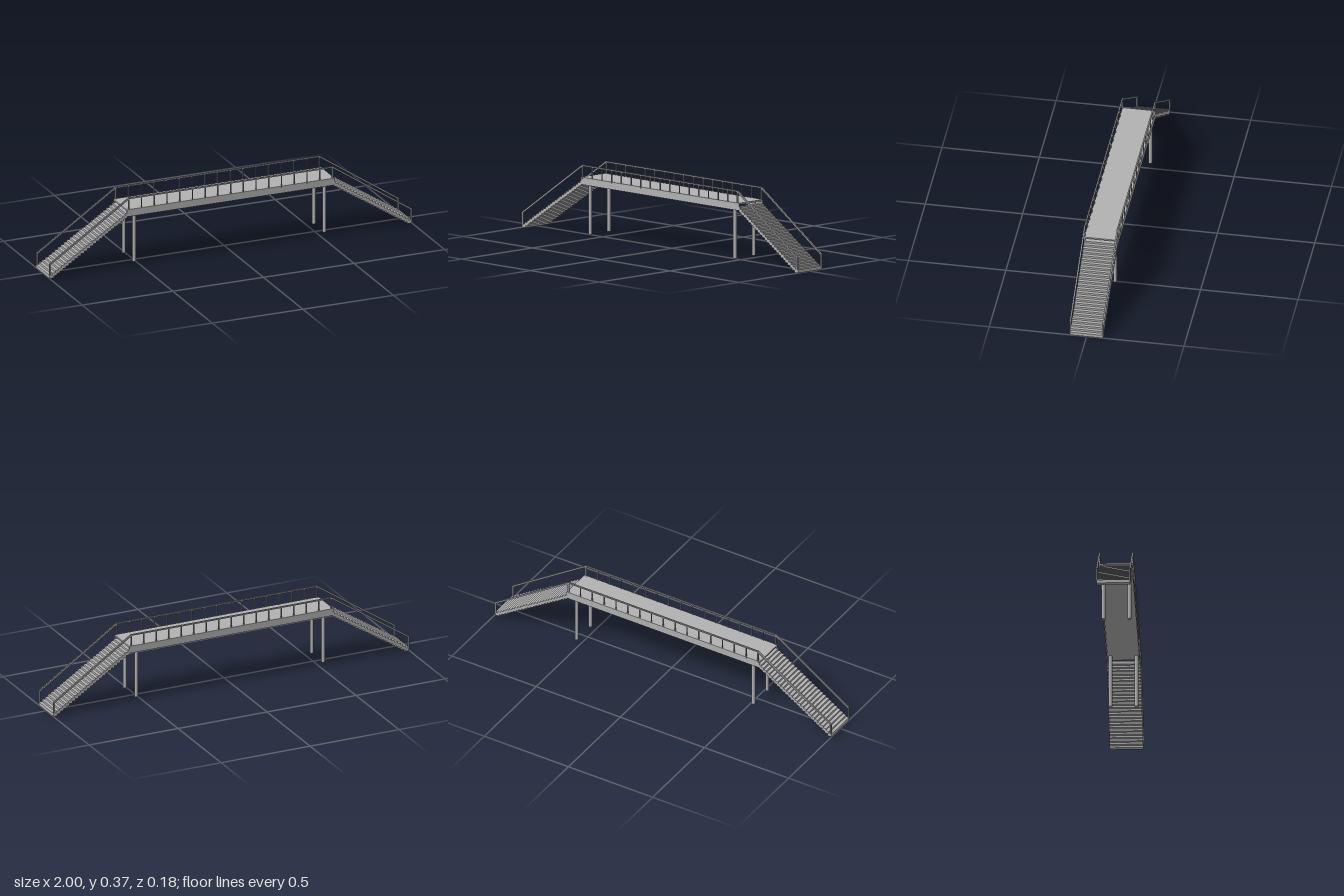
import * as THREE from 'three';

export function createModel() {
  const bridge = new THREE.Group();
  bridge.name = 'footbridge';

  const concrete = new THREE.MeshStandardMaterial({ color: 0xb2b2b2 });
  concrete.name = 'concrete grey';
  const steel = new THREE.MeshStandardMaterial({ color: 0x9c9c9c });
  steel.name = 'steel grey';

  const add = (parent, name, geometry, material, x, y, z) => {
    const mesh = new THREE.Mesh(geometry, material);
    mesh.name = name;
    mesh.position.set(x, y, z);
    parent.add(mesh);
    return mesh;
  };
  const box = (parent, name, material, w, h, d, x, y, z) =>
    add(parent, name, new THREE.BoxGeometry(w, h, d), material, x, y, z);

  // Square bar between two points in a plane of constant z
  const bar = (parent, name, x0, y0, x1, y1, z, t) => {
    const length = Math.hypot(x1 - x0, y1 - y0);
    const mesh = box(parent, name, steel, length, t, t, (x0 + x1) / 2, (y0 + y1) / 2, z);
    mesh.rotation.z = Math.atan2(y1 - y0, x1 - x0);
  };

  const END = 0.562;      // end posts of the deck railing
  const RAIL_Y = 0.368;   // centre of the handrail
  const DECK_Y = 0.308;   // walking surface
  const RAIL_Z = 0.084;

  // Walkway slab with a deep girder hanging along each edge
  box(bridge, 'deck', concrete, 1.146, 0.008, 0.168, 0, DECK_Y - 0.004, 0);
  for (const s of [-1, 1]) {
    box(bridge, 'girder', concrete, 1.146, 0.038, 0.006, 0, 0.289, s * 0.083);
  }

  // Round columns
  const column = new THREE.CylinderGeometry(0.0095, 0.0095, 0.284, 16);
  for (const x of [-0.525, 0.525]) {
    for (const z of [-0.066, 0.066]) add(bridge, 'column', column, concrete, x, 0.16, z);
  }

  // Stairs: separate overlapping treads on each end
  const STEPS = 26;
  for (const s of [-1, 1]) {
    const stairs = new THREE.Group();
    stairs.name = s > 0 ? 'leftStairs' : 'rightStairs';
    for (let i = 0; i < STEPS; i++) {
      box(stairs, 'tread', concrete, 0.024, 0.017, 0.17,
        s * (0.988 - i * 0.0168), 0.0085 + i * 0.01085, 0);
    }
    bridge.add(stairs);
  }

  // Railings on both sides
  for (const side of [-1, 1]) {
    const z = side * RAIL_Z;
    const railing = new THREE.Group();
    railing.name = side > 0 ? 'frontRailing' : 'backRailing';
    bar(railing, 'handrail', -END - 0.003, RAIL_Y, END + 0.003, RAIL_Y, z, 0.007);
    for (let i = 0; i <= 16; i++) {
      const t = i % 16 === 0 ? 0.007 : 0.005;
      bar(railing, 'post', -END + i * END / 8, 0.3, -END + i * END / 8, RAIL_Y, z, t);
    }
    // Sloping stair rails with a foot post
    for (const s of [-1, 1]) {
      bar(railing, 'stairRail', s * END, RAIL_Y, s * 0.996, 0.077, z, 0.008);
      bar(railing, 'footPost', s * 0.996, 0.015, s * 0.996, 0.08, z, 0.008);
    }
    bridge.add(railing);
  }

  return bridge;
}
